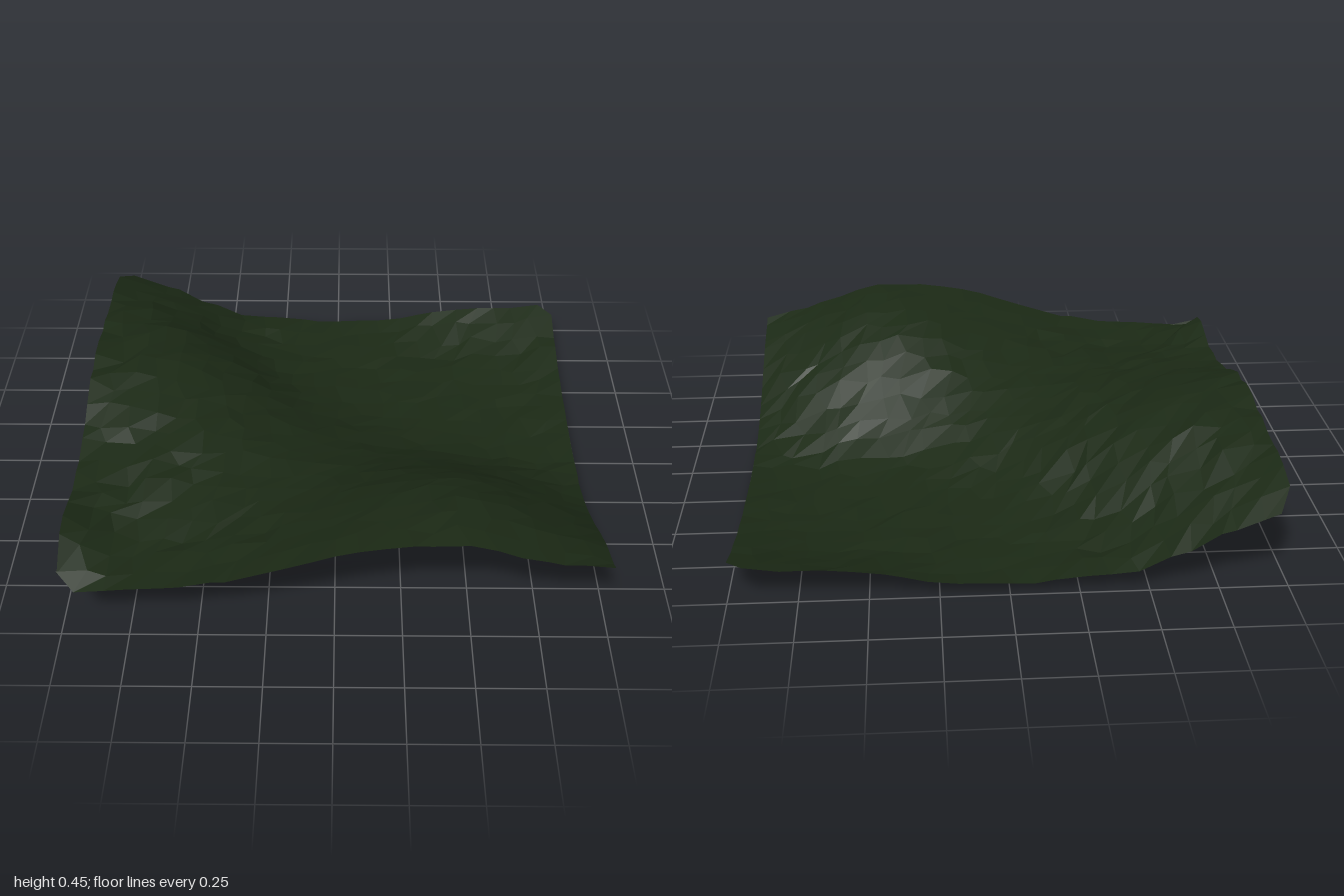
import * as THREE from 'three';

// Ground heights on a coarse grid: rows run back (z = -1) to front (z = 1), columns x = -1 to 1
const HEIGHTS = [
  [0.35, 0.235, 0.12, 0.085, 0.065, 0.075, 0.125, 0.145, 0.17],
  [0.405, 0.305, 0.16, 0.08, 0.055, 0.05, 0.06, 0.07, 0.105],
  [0.42, 0.385, 0.26, 0.11, 0.06, 0.045, 0.04, 0.035, 0.065],
  [0.44, 0.415, 0.325, 0.185, 0.09, 0.055, 0.035, 0.025, 0.04],
  [0.42, 0.385, 0.325, 0.235, 0.15, 0.105, 0.065, 0.035, 0.035],
  [0.335, 0.325, 0.305, 0.255, 0.225, 0.22, 0.2, 0.135, 0.06],
  [0.315, 0.28, 0.265, 0.26, 0.295, 0.355, 0.36, 0.265, 0.145],
  [0.35, 0.235, 0.25, 0.29, 0.37, 0.435, 0.445, 0.36, 0.255],
  [0.235, 0.25, 0.265, 0.335, 0.41, 0.455, 0.46, 0.385, 0.335],
];
// Clipped corners: where each corner of the square moves to
const CORNERS = [
  { from: [-1, 1], to: [-1, 0.94] },
  { from: [-1, -1], to: [-0.95, -1] },
  { from: [1, -1], to: [0.94, -1] },
  { from: [1, 1], to: [1, 0.96] },
];
const SEGMENTS = 22;

function seededRandom(seed) {
  return () => {
    seed = (seed * 16807) % 2147483647;
    return seed / 2147483647;
  };
}

// Smooth curve through evenly spaced values, u from 0 to values.length - 1
function spline(values, u) {
  const last = values.length - 1;
  const i = Math.min(Math.floor(u), last - 1);
  const t = u - i;
  const b = values[i], c = values[i + 1];
  const a = i > 0 ? values[i - 1] : 2 * b - c;
  const d = i + 2 <= last ? values[i + 2] : 2 * c - b;
  return b + 0.5 * t * (c - a + t * (2 * a - 5 * b + 4 * c - d + t * (3 * (b - c) + d - a)));
}

function heightAt(x, z) {
  const u = THREE.MathUtils.clamp((x + 1) * 4, 0, 8);
  const v = THREE.MathUtils.clamp((z + 1) * 4, 0, 8);
  return spline(HEIGHTS.map((row) => spline(row, u)), v);
}

export function createModel() {
  const group = new THREE.Group();
  group.name = 'terrain';

  // Irregular faceted sheet of hills around a valley
  const geometry = new THREE.PlaneGeometry(2, 2, SEGMENTS, SEGMENTS);
  geometry.rotateX(-Math.PI / 2);
  const position = geometry.attributes.position;
  const random = seededRandom(4271);
  const jitter = (amount) => (random() - 0.5) * amount;
  const p = new THREE.Vector3();
  const cell = 2 / SEGMENTS;
  for (let i = 0; i < position.count; i++) {
    p.fromBufferAttribute(position, i);
    const corner = CORNERS.find(({ from }) => Math.hypot(p.x - from[0], p.z - from[1]) < 0.001);
    if (corner) {
      [p.x, p.z] = corner.to;
    } else {
      if (Math.abs(p.x) < 0.999) p.x += jitter(cell * 0.6);
      if (Math.abs(p.z) < 0.999) p.z += jitter(cell * 0.6);
      // Front edge slants back towards its clipped corner
      p.z = Math.min(p.z, 1 - 0.04 * Math.max(0, (p.x - 0.7) / 0.3));
    }
    // Steep western slopes are rougher than the valley
    const roughness = p.x < -0.2 ? 0.022 : 0.013;
    p.y = heightAt(p.x, p.z) + jitter(roughness);
    position.setXYZ(i, p.x, p.y, p.z);
  }
  geometry.computeBoundingBox();
  geometry.translate(0, -geometry.boundingBox.min.y, 0);
  geometry.computeVertexNormals();

  const material = new THREE.MeshStandardMaterial({
    color: 0x1b2915,
    flatShading: true,
    side: THREE.DoubleSide,
  });
  const ground = new THREE.Mesh(geometry, material);
  ground.name = 'hillyGround';
  group.add(ground);
  return group;
}
